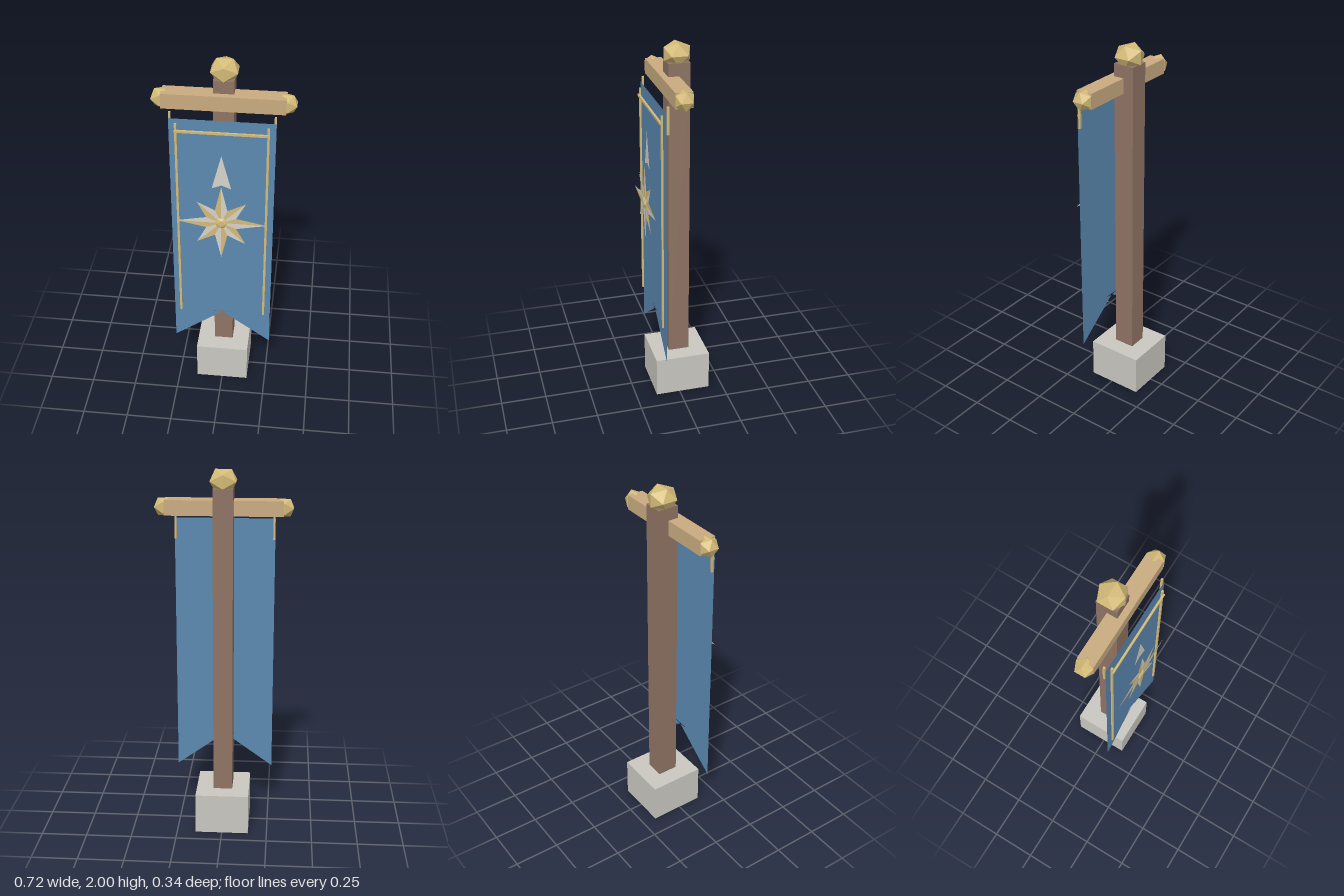
import * as THREE from 'three';

const mat = (name, color, side = THREE.FrontSide) => {
  const m = new THREE.MeshStandardMaterial({ color, side, flatShading: true });
  m.name = name;
  return m;
};

export function createModel() {
  const model = new THREE.Group();
  model.name = 'bannerPost';

  const stone = mat('stone', 0xc9c7c0);
  const darkWood = mat('dark wood', 0x8f7464);
  const lightWood = mat('light wood', 0xc9ab80);
  const cloth = mat('blue cloth', 0x5b88b0, THREE.DoubleSide);
  const gold = mat('gold', 0xd4bb78, THREE.DoubleSide);
  const ivory = mat('ivory', 0xd6d3ca, THREE.DoubleSide);

  const add = (name, geometry, material, x, y, z) => {
    const mesh = new THREE.Mesh(geometry, material);
    mesh.name = name;
    mesh.position.set(x, y, z);
    model.add(mesh);
    return mesh;
  };
  const box = (name, material, w, h, d, x, y, z) =>
    add(name, new THREE.BoxGeometry(w, h, d), material, x, y, z);
  const knob = (name, r, x, y, z, sy = 1, sz = 1) =>
    add(name, new THREE.IcosahedronGeometry(r, 0), gold, x, y, z).scale.set(1, sy, sz);
  const flat = (points) =>
    new THREE.ShapeGeometry(new THREE.Shape(points.map(([x, y]) => new THREE.Vector2(x, y))));

  // Base, post and crossbar
  box('base', stone, 0.292, 0.226, 0.307, 0, 0.113, -0.019);
  box('post', darkWood, 0.105, 1.68, 0.115, 0, 1.065, -0.019);
  box('crossbar', lightWood, 0.62, 0.081, 0.09, 0, 1.797, 0.027);

  // Faceted knobs on the post and crossbar ends
  knob('topFinial', 0.0807, 0, 1.9416, -0.019, 0.85);
  for (const s of [-1, 1]) {
    const side = s > 0 ? 'left' : 'right';
    knob(side + 'BarFinial', 0.0546, s * 0.3155, 1.797, 0.027);
    // Hanging straps and vertical trim
    box(side + 'Strap', gold, 0.011, 0.143, 0.011, s * 0.262, 1.684, 0.096);
    box(side + 'Trim', gold, 0.012, 1.205, 0.01, s * 0.231, 1.1, 0.119);
  }
  box('topTrim', gold, 0.475, 0.012, 0.011, 0, 1.664, 0.1265);

  // Swallow-tailed cloth with a small slit above the notch
  add('banner', flat([
    [-0.268, 1.724], [-0.268, 0.29], [-0.003, 0.483], [-0.058, 0.491],
    [0.058, 0.491], [0.003, 0.483], [0.268, 0.29], [0.268, 1.724],
  ]), cloth, 0, 0, 0.106);

  // Arrowhead above the star
  add('arrowhead', flat([[0, 1.544], [-0.05, 1.347], [0, 1.368], [0.05, 1.347]]),
    ivory, 0, 0, 0.14);

  // Eight-pointed star, each ray split into a gold and an ivory half
  const polar = (r, a) => [r * Math.cos(a), r * Math.sin(a)];
  const star = new THREE.Group();
  star.name = 'star';
  star.position.set(0, 1.142, 0.155);
  for (let i = 0; i < 8; i++) {
    const a = (i * Math.PI) / 4;
    const length = i % 2 ? 0.18 : i % 4 ? 0.225 : 0.237;
    for (const s of [-1, 1]) {
      const half = new THREE.Mesh(
        flat([[0, 0], polar(length, a), polar(0.085, a + (s * Math.PI) / 8)]),
        s > 0 ? gold : ivory);
      half.name = 'starRayHalf';
      star.add(half);
    }
  }
  model.add(star);
  knob('starBoss', 0.034, 0, 1.142, 0.157, 1, 0.35);

  return model;
}
